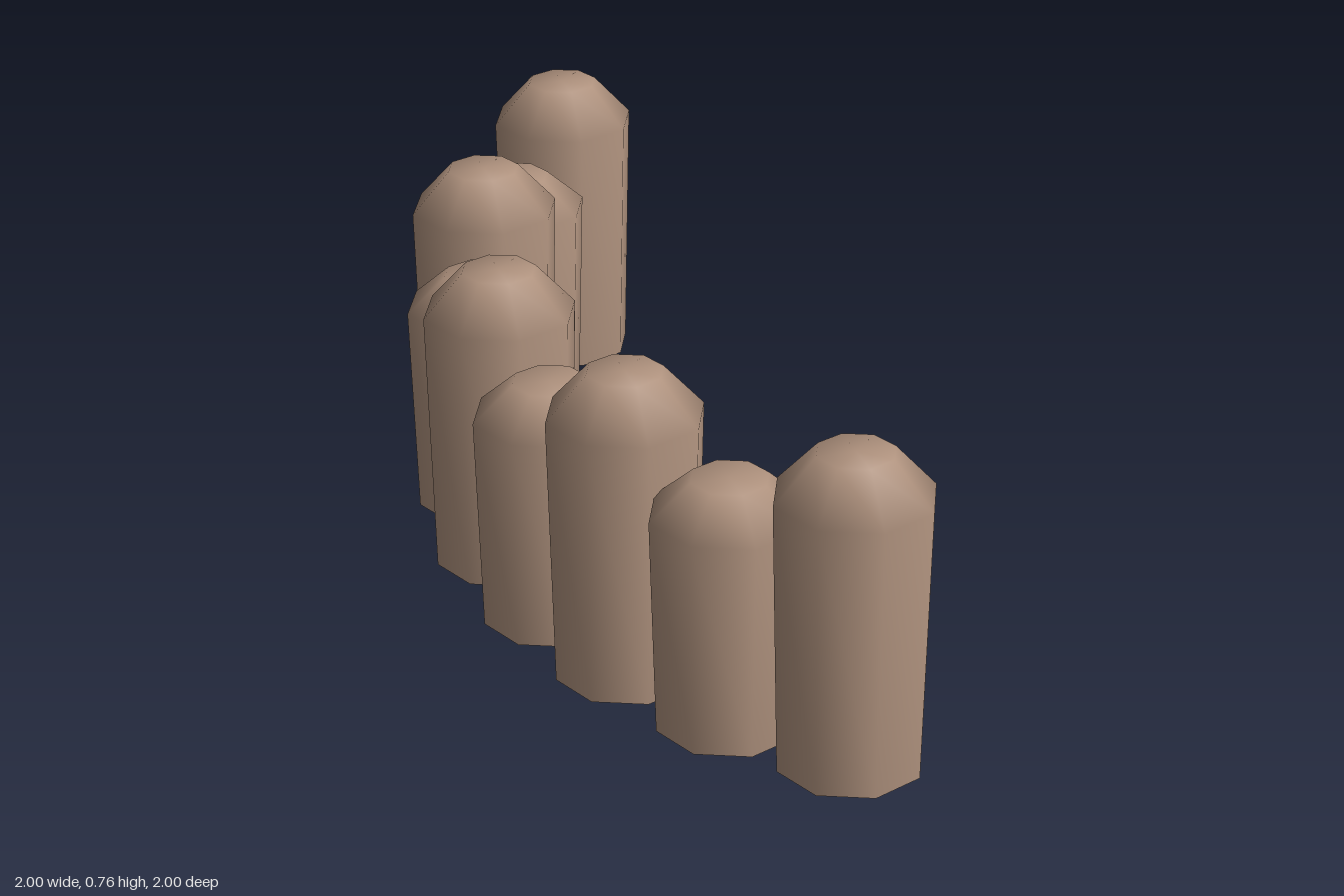
import * as THREE from 'three';

const wood = new THREE.MeshStandardMaterial({ color: 0xae917d });
wood.name = 'brown wood';

const SIDES = 8;
const BASE_RADIUS = 0.17;
const TALL = 0.76;
const SHORT = 0.61;

// Half of the curved row as [x, z], from the back end to the middle post
const half = [[-0.815, -0.815], [-0.785, -0.5], [-0.69, -0.19], [-0.54, 0.088], [-0.338, 0.338]];

// Tapered eight-sided post with a softly shaded, blunt top
const profile = [[BASE_RADIUS, 0], [0.185, 0.655], [0.09, TALL], [0, TALL]]
  .map(([r, y]) => new THREE.Vector2(r, y));
const shaft = new THREE.LatheGeometry(profile, SIDES);

// Flat underside, facing down, with its corners on the shaft's corners
const underside = new THREE.CircleGeometry(BASE_RADIUS, SIDES).rotateX(Math.PI / 2);

function makePost(x, z, height) {
  const post = new THREE.Group();
  post.name = 'post';
  const body = new THREE.Mesh(shaft, wood);
  body.name = 'postShaft';
  const bottom = new THREE.Mesh(underside, wood);
  bottom.name = 'postUnderside';
  post.add(body, bottom);
  post.position.set(x, 0, z);
  post.scale.y = height / TALL;
  return post;
}

export function createModel() {
  const palisade = new THREE.Group();
  palisade.name = 'curvedPalisade';

  // Mirror the half row across the diagonal; tall and short posts alternate
  const mirrored = half.slice(0, -1).reverse().map(([x, z]) => [-z, -x]);
  [...half, ...mirrored].forEach(([x, z], i) => {
    palisade.add(makePost(x, z, i % 2 ? SHORT : TALL));
  });
  return palisade;
}
